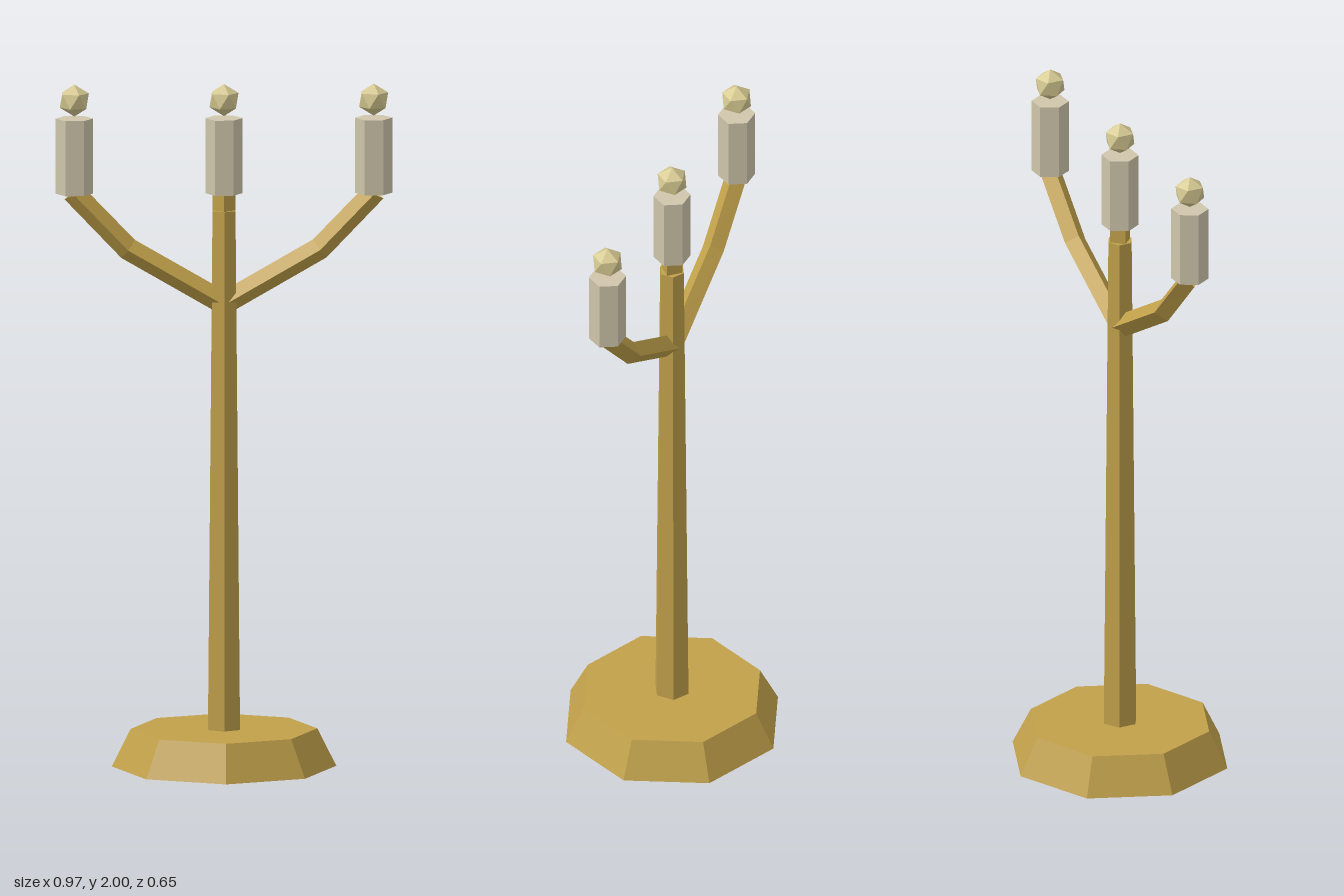
import * as THREE from 'three';

const material = (color) =>
  new THREE.MeshStandardMaterial({ color, flatShading: true, side: THREE.DoubleSide });

// Faceted hollow post: closed on top, open underneath
const post = (bottomRadius, topRadius, bottom, top, sides, turn = 0) =>
  new THREE.LatheGeometry([
    new THREE.Vector2(bottomRadius, bottom),
    new THREE.Vector2(topRadius, top),
    new THREE.Vector2(0, top),
  ], sides, turn);

export function createModel() {
  const model = new THREE.Group();
  model.name = 'candelabra';
  const brass = material(0xc0a04a);
  const wax = material(0xcfc6ab);
  const glow = material(0xd6ca92);

  const add = (name, geometry, mat, x = 0, y = 0) => {
    const mesh = new THREE.Mesh(geometry, mat);
    mesh.name = name;
    mesh.position.set(x, y, 0);
    model.add(mesh);
  };

  // Octagonal hollow foot, tapered hexagonal stem, diamond-section neck
  add('base', post(0.325, 0.27, 0, 0.11, 8), brass);
  add('stem', post(0.053, 0.038, 0.11, 1.63, 6), brass);
  add('neck', post(0.033, 0.033, 1.58, 1.685, 4), brass);

  // Bent arms, two straight pieces each, with the bend at the curve's middle parameter
  for (const [name, s] of [['leftArm', 1], ['rightArm', -1]]) {
    const curve = new THREE.QuadraticBezierCurve3(
      new THREE.Vector3(0, 1.357, 0),
      new THREE.Vector3(s * 0.338, 1.516, 0),
      new THREE.Vector3(s * 0.433, 1.68, 0)
    );
    curve.getUtoTmapping = (u) => u;
    add(name, new THREE.TubeGeometry(curve, 2, 0.033, 4), brass);
  }

  // Hexagonal candles, corners towards the sides
  const candle = post(0.054, 0.054, 1.68, 1.9, 6, Math.PI / 6);
  // Icosahedral flames standing on a corner
  const flame = new THREE.IcosahedronGeometry(0.047, 0)
    .rotateZ(-Math.atan(2 / (1 + Math.sqrt(5))));
  for (const [side, x] of [['left', 0.433], ['middle', 0], ['right', -0.433]]) {
    add(side + 'Candle', candle, wax, x);
    add(side + 'Flame', flame, glow, x, 1.953);
  }
  return model;
}
